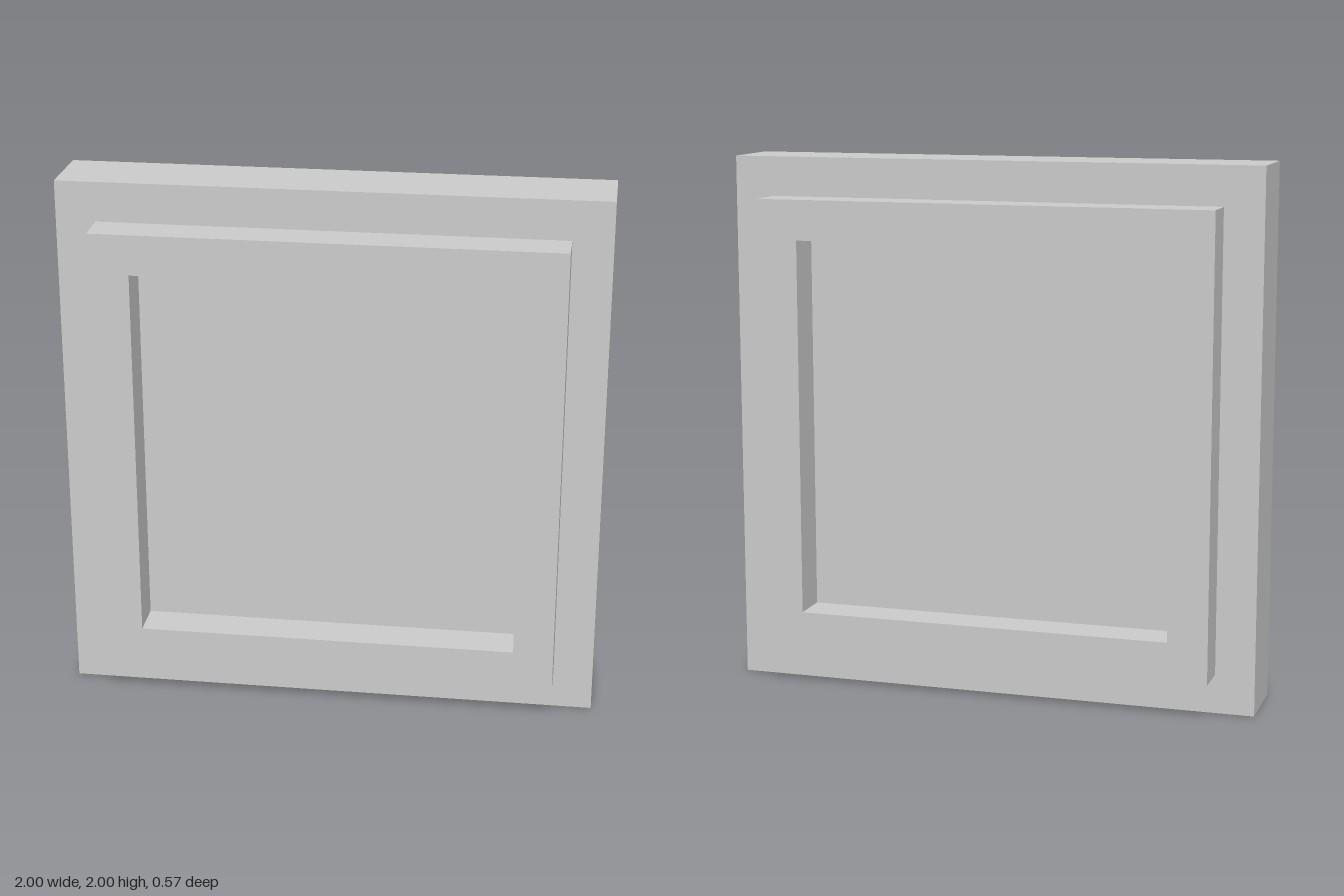
import * as THREE from 'three';

const SLAB_HALF = 0.139;  // half thickness of the slab
const RIM_DEPTH = 0.148;  // how far each rim stands out
const RIM_OUTER = 0.853;  // half width of the rim
const RIM_INNER = 0.704;  // half width of the recess

// Traces a centred square of the given half width
function traceSquare(path, h) {
  path.moveTo(-h, -h);
  path.lineTo(h, -h);
  path.lineTo(h, h);
  path.lineTo(-h, h);
  path.closePath();
  return path;
}

export function createModel() {
  const model = new THREE.Group();
  model.name = 'framedPanel';
  const material = new THREE.MeshStandardMaterial({ color: 0xcccccc, flatShading: true });

  // Square slab, whose faces are also the floors of the recesses
  const slab = new THREE.Mesh(new THREE.BoxGeometry(2, 2, SLAB_HALF * 2), material);
  slab.name = 'slab';
  slab.position.y = 1;
  model.add(slab);

  // Raised square rim, the same on front and back
  const shape = traceSquare(new THREE.Shape(), RIM_OUTER);
  shape.holes.push(traceSquare(new THREE.Path(), RIM_INNER));
  const rimGeometry = new THREE.ExtrudeGeometry(shape, { depth: RIM_DEPTH, bevelEnabled: false });
  for (const [name, turn, z] of [['frontRim', 0, SLAB_HALF], ['backRim', Math.PI, -SLAB_HALF]]) {
    const rim = new THREE.Mesh(rimGeometry, material);
    rim.name = name;
    rim.rotation.y = turn;
    rim.position.set(0, 1, z);
    model.add(rim);
  }

  return model;
}
